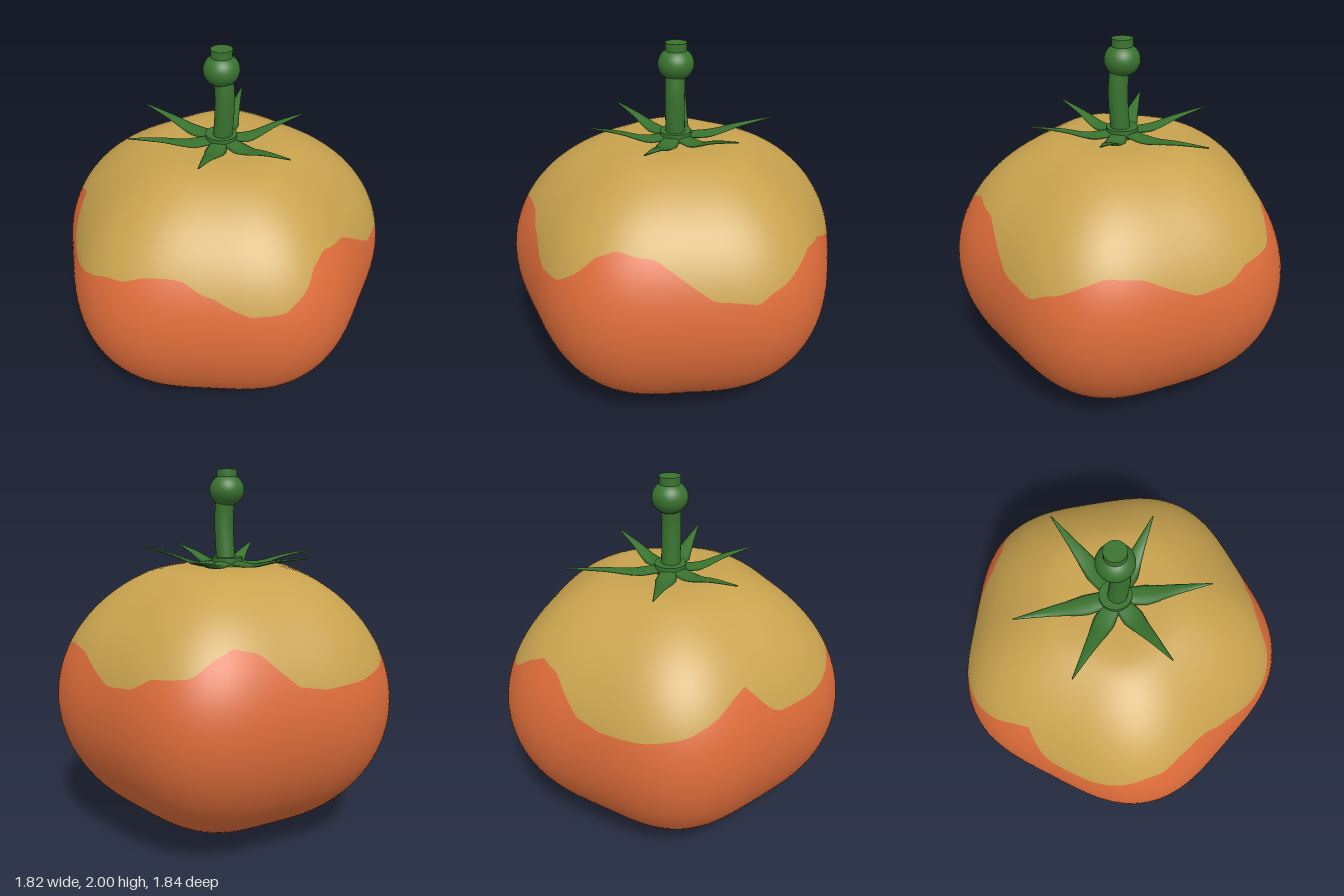
import * as THREE from 'three';

const CZ = -0.03; // depth of the fruit's axis
const H = 0.77;   // half height of the fruit before flattening
const rad = THREE.MathUtils.degToRad;

// Height of the colour border around the fruit: [degrees from front towards +x, y]
const BORDER = [
  [-177, 0.97], [-165, 0.99], [-158, 1.05], [-145, 1.07], [-138, 1.15], [-132, 1.19], [-123, 1.16],
  [-110, 1.0], [-100, 0.97], [-85, 0.98], [-71, 1.02], [-61, 1.08], [-54, 1.14], [-48, 1.17],
  [-44, 1.11], [-39, 1.03], [-35, 1.0], [-20, 1.0], [-13, 1.02], [-7, 1.05], [0, 1.09], [6, 1.1],
  [13, 1.14], [21, 1.15], [27, 1.14], [33, 1.09], [38, 1.07], [43, 1.03], [50, 0.99], [61, 1.0],
  [69, 1.08], [74, 1.16], [81, 1.2], [88, 1.18], [95, 1.17], [102, 1.11], [108, 1.05], [115, 0.98],
  [122, 0.97], [129, 0.95], [133, 0.99], [139, 1.02], [146, 1.07], [153, 1.11], [165, 1.09], [175, 1.02],
];

function borderHeight(deg) {
  const n = BORDER.length;
  for (let i = 0; i < n; i++) {
    const [a, ya] = BORDER[i];
    const [b0, yb] = BORDER[(i + 1) % n];
    const b = i === n - 1 ? b0 + 360 : b0;
    const d = deg < BORDER[0][0] ? deg + 360 : deg;
    if (d >= a && d <= b) return ya + (yb - ya) * (d - a) / (b - a);
  }
  return 1;
}

// Five-lobed outline seen from above
const lobedRadius = (p) => 0.908 + 0.037 * Math.cos(5 * p) + 0.012 * Math.cos(2 * p);

// Soft minimum that flattens the top of the fruit
function flatten(y, top = 1.482, k = 0.03) {
  const h = Math.max(k - Math.abs(y - top), 0) / k;
  return Math.min(y, top) - h * h * k * 0.25;
}

// Fruit skin: one smooth surface whose rows follow the colour border
function fruitGeometry() {
  const cols = 180, upper = 24, rows = 60;
  const pos = [], index = [];
  for (let j = 0; j <= rows; j++) {
    for (let i = 0; i < cols; i++) {
      const deg = -180 + (i * 360) / cols, p = rad(deg);
      const split = Math.acos((borderHeight(deg) - H) / H);
      const t = j <= upper
        ? (split * j) / upper
        : split + ((Math.PI - split) * (j - upper)) / (rows - upper);
      const r = lobedRadius(p) * Math.sin(t);
      pos.push(r * Math.sin(p), flatten(H + H * Math.cos(t)), CZ + r * Math.cos(p));
    }
  }
  for (let j = 0; j < rows; j++) {
    for (let i = 0; i < cols; i++) {
      const a = j * cols + i, b = j * cols + ((i + 1) % cols);
      index.push(a, a + cols, b, b, a + cols, b + cols);
    }
  }
  const g = new THREE.BufferGeometry();
  g.setAttribute('position', new THREE.Float32BufferAttribute(pos, 3));
  g.setIndex(index);
  g.computeVertexNormals();
  g.addGroup(0, upper * cols * 6, 0);
  g.addGroup(upper * cols * 6, (rows - upper) * cols * 6, 1);
  return g;
}

// Sepal: an oval section lofted along a rising path to a pointed tip
function sepalGeometry(tip) {
  const dx = tip.x, dz = tip.z - CZ;
  const len = Math.hypot(dx, dz);
  const ux = dx / len, uz = dz / len;
  const path = new THREE.CatmullRomCurve3([
    new THREE.Vector3(ux * 0.04, 1.5, CZ + uz * 0.04),
    new THREE.Vector3(dx * 0.35, 1.495, CZ + dz * 0.35),
    new THREE.Vector3(dx * 0.65, 1.5 + (tip.y - 1.5) * 0.5, CZ + dz * 0.65),
    tip,
  ]);
  const steps = 14, sides = 8, pos = [], index = [];
  for (let j = 0; j <= steps; j++) {
    const s = j / steps, c = path.getPoint(s);
    const w = s < 0.25 ? 0.045 + 0.04 * s : 0.055 * (1 - s) / 0.75 + 0.003;
    const h = 0.004 + 0.012 * (1 - s);
    for (let i = 0; i < sides; i++) {
      const a = (i / sides) * Math.PI * 2;
      const side = w * Math.cos(a);
      pos.push(c.x - uz * side, c.y + h * Math.sin(a), c.z + ux * side);
    }
  }
  for (let j = 0; j < steps; j++) {
    for (let i = 0; i < sides; i++) {
      const a = j * sides + i, b = j * sides + ((i + 1) % sides);
      index.push(a, b, a + sides, b, b + sides, a + sides);
    }
  }
  const g = new THREE.BufferGeometry();
  g.setAttribute('position', new THREE.Float32BufferAttribute(pos, 3));
  g.setIndex(index);
  g.computeVertexNormals();
  return g;
}

export function createModel() {
  const model = new THREE.Group();
  model.name = 'tomato';
  const material = (name, color, side = THREE.FrontSide) => {
    const m = new THREE.MeshStandardMaterial({ color, side });
    m.name = name;
    return m;
  };
  const gold = material('goldenSkin', 0xc8a24e);
  const orange = material('orangeSkin', 0xdb6b39);
  const green = material('stemGreen', 0x39732f, THREE.DoubleSide);

  const add = (name, geometry, mat, x = 0, y = 0, z = 0) => {
    const mesh = new THREE.Mesh(geometry, mat);
    mesh.name = name;
    mesh.position.set(x, y, z);
    model.add(mesh);
  };

  add('fruit', fruitGeometry(), [gold, orange]);

  // Six sepals around the stem
  const tips = [
    [-0.26, 1.55, -0.52], [0.26, 1.59, -0.4], [0.48, 1.575, 0.02],
    [0.2, 1.58, 0.38], [-0.29, 1.565, 0.38], [-0.53, 1.555, 0.02],
  ];
  tips.forEach((t, i) => add(`sepal${i + 1}`, sepalGeometry(new THREE.Vector3(...t)), green));

  // Stem with collar, knuckle and cut end
  add('collar', new THREE.CylinderGeometry(0.085, 0.085, 0.05, 32), green, -0.005, 1.505, CZ);
  const stemPath = new THREE.CatmullRomCurve3([
    new THREE.Vector3(0, 1.48, CZ),
    new THREE.Vector3(0.014, 1.62, CZ),
    new THREE.Vector3(0.018, 1.75, CZ),
    new THREE.Vector3(0, 1.9, CZ),
  ]);
  add('stem', new THREE.TubeGeometry(stemPath, 20, 0.052, 24), green);
  add('knuckle', new THREE.SphereGeometry(0.095, 32, 20).scale(1, 0.9, 1), green, -0.005, 1.89, CZ);
  add('cutEnd', new THREE.CylinderGeometry(0.056, 0.056, 0.1, 24), green, -0.005, 1.95, CZ);

  return model;
}
